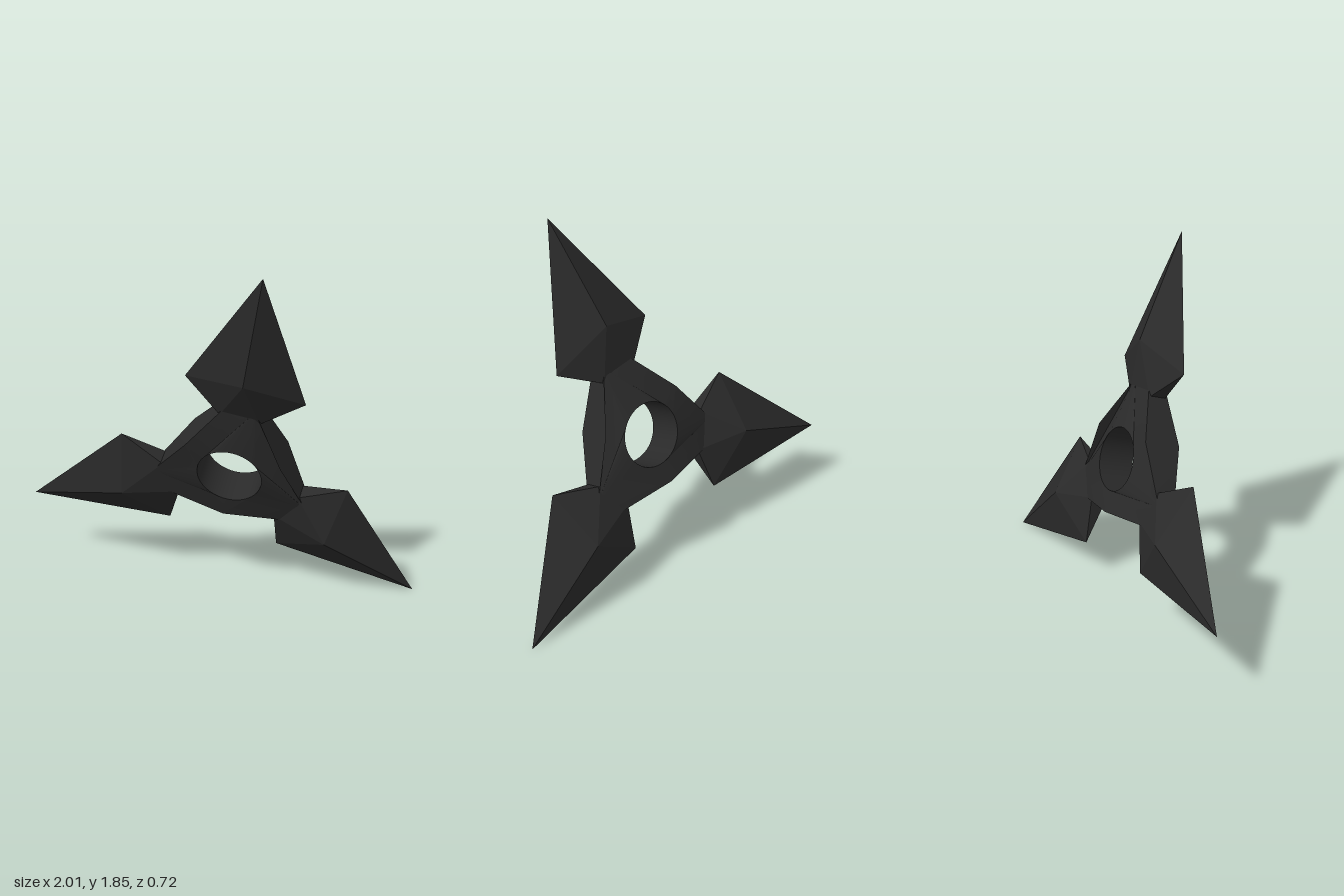
import * as THREE from 'three';
import { toCreasedNormals } from 'three/addons/utils/BufferGeometryUtils.js';
import { ConvexGeometry } from 'three/addons/geometries/ConvexGeometry.js';

const V = (x, y, z) => new THREE.Vector3(x, y, z);

// Turn a flat point about the hub by a number of thirds
function turn(x, y, thirds) {
  return new THREE.Vector2(x, y).rotateAround(new THREE.Vector2(), thirds * Math.PI * 2 / 3);
}

// Three-armed hub with a round hole, thinning toward the arm ends
function hubGeometry() {
  const half = 0.1, thin = 0.045;
  const outline = [];
  for (let i = 0; i < 3; i++) {
    outline.push(turn(0.07, 0.42, i), turn(-0.07, 0.42, i), turn(-0.242, 0.14, i));
  }
  const shape = new THREE.Shape(outline);
  shape.holes.push(new THREE.Path().absarc(0, 0, 0.165, 0, Math.PI * 2, true));
  const geo = new THREE.ExtrudeGeometry(shape, { depth: 2 * half, bevelEnabled: false, curveSegments: 32 });
  geo.translate(0, 0, -half);
  const p = geo.attributes.position;
  for (let i = 0; i < p.count; i++) {
    if (Math.hypot(p.getX(i), p.getY(i)) > 0.35) p.setZ(i, Math.sign(p.getZ(i)) * thin);
  }
  return toCreasedNormals(geo, 0.3);
}

// Spearhead blade: tip, ridge peaks, shoulders and a narrow neck
function bladeGeometry() {
  const points = [V(0, 1.197, 0)];
  for (const s of [-1, 1]) {
    points.push(V(0, 0.62, s * 0.11), V(s * 0.3, 0.507, 0));
    points.push(V(s * 0.1, 0.35, 0.045), V(s * 0.1, 0.35, -0.045));
  }
  return new ConvexGeometry(points);
}

export function createModel() {
  const model = new THREE.Group();
  model.name = 'throwingStar';
  const steel = new THREE.MeshStandardMaterial({ color: 0x2a2a2a });
  const flatSteel = new THREE.MeshStandardMaterial({ color: 0x2a2a2a, flatShading: true });

  const star = new THREE.Group();
  star.name = 'star';
  const hub = new THREE.Mesh(hubGeometry(), steel);
  hub.name = 'hub';
  star.add(hub);

  const blade = bladeGeometry();
  for (let i = 0; i < 3; i++) {
    const mesh = new THREE.Mesh(blade, flatSteel);
    mesh.name = 'blade' + (i + 1);
    mesh.rotation.z = i * Math.PI * 2 / 3;
    star.add(mesh);
  }

  // Tilt the star so it leans on its lowest tip
  const up = V(0.2216, 0.9253, 0.307).normalize();
  const right = up.clone().cross(V(0.0955, -0.334, 0.938)).normalize();
  const face = right.clone().cross(up);
  star.quaternion.setFromRotationMatrix(new THREE.Matrix4().makeBasis(right, up, face));
  star.position.set(0.133, 0.742, -0.01);
  model.add(star);
  return model;
}
